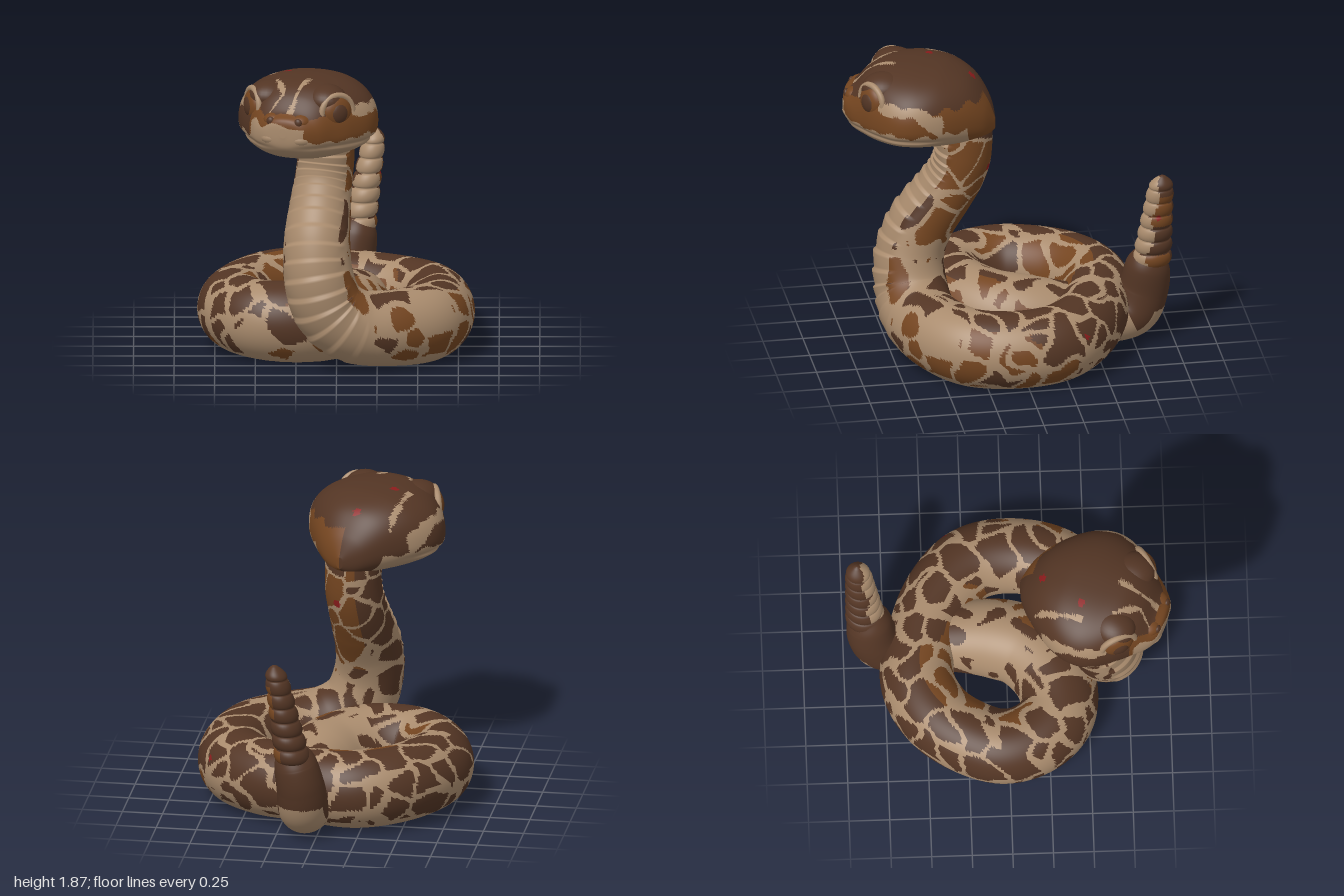
import * as THREE from 'three';

const mat = (name, color) => Object.assign(new THREE.MeshStandardMaterial({ color }), { name });
const tan = mat('tan', 0xa98b6d), dark = mat('darkBrown', 0x533524), mid = mat('rustBrown', 0x744520), red = mat('redFleck', 0x8c1c1c);
const PALETTE = [tan, dark, mid, red];
const TAN = 0, DARK = 1, MID = 2, RED = 3;
const V = (x, y, z) => new THREE.Vector3(x, y, z);
const smooth = THREE.MathUtils.smoothstep;

// Catmull-Rom through rows of numbers, t in 0..1
function spline(rows) {
  const n = rows.length - 1;
  return t => {
    const u = Math.min(Math.max(t, 0), 1) * n, i = Math.min(Math.floor(u), n - 1), f = u - i;
    const [a, b, c, d] = [i - 1, i, i + 1, i + 2].map(k => rows[Math.min(Math.max(k, 0), n)]);
    return b.map((_, k) => b[k] + 0.5 * f * (c[k] - a[k] + f * (2 * a[k] - 5 * b[k] + 4 * c[k] - d[k] + f * (3 * (b[k] - c[k]) + d[k] - a[k]))));
  };
}

// Closed skin over a list of rings; rule(centre, normal) picks each face's colour
function loft(name, rings, rule) {
  const m = rings[0].length, n = rings.length, pts = rings.flat(), faces = [];
  const mean = r => r.reduce((s, p) => s.add(p), V(0, 0, 0)).divideScalar(m);
  pts.push(mean(rings[0]), mean(rings[n - 1]));
  for (let j = 0; j < m; j++) {
    const k = (j + 1) % m, e = (n - 1) * m;
    for (let i = 0; i < n - 1; i++) {
      const a = i * m + j, b = i * m + k;
      faces.push([a, b, b + m], [a, b + m, a + m]);
    }
    faces.push([n * m, k, j], [n * m + 1, e + j, e + k]);
  }
  const buckets = PALETTE.map(() => []), tri = new THREE.Triangle();
  for (const f of faces) {
    tri.set(pts[f[0]], pts[f[1]], pts[f[2]]);
    buckets[rule(tri.getMidpoint(V()), tri.getNormal(V()), f[0])].push(...f);
  }
  const g = new THREE.BufferGeometry().setFromPoints(pts);
  g.setIndex(buckets.flat());
  let start = 0;
  buckets.forEach((b, i) => { if (b.length) g.addGroup(start, b.length, i); start += b.length; });
  g.computeVertexNormals();
  const mesh = new THREE.Mesh(g, PALETTE);
  mesh.name = name;
  return mesh;
}

// Seeded cell noise: gap between the two nearest cells, and the nearest cell's number
const hash = (x, y, z, s) => { const h = Math.sin(x * 127.1 + y * 311.7 + z * 74.7 + s * 53.3) * 43758.5453; return h - Math.floor(h); };
function cells(p, size) {
  const q = p.clone().divideScalar(size);
  const w = V(q.x + 0.13 * Math.sin(q.y * 5 + q.z * 3), q.y + 0.13 * Math.sin(q.z * 5 + q.x * 3), q.z + 0.13 * Math.sin(q.x * 5 + q.y * 3));
  const c = w.clone().floor();
  let f1 = 9, f2 = 9, id = 0;
  for (let x = c.x - 1; x <= c.x + 1; x++) for (let y = c.y - 1; y <= c.y + 1; y++) for (let z = c.z - 1; z <= c.z + 1; z++) {
    const d = Math.hypot(x + hash(x, y, z, 1) - w.x, y + hash(x, y, z, 2) - w.y, z + hash(x, y, z, 3) - w.z);
    if (d < f1) { f2 = f1; f1 = d; id = hash(x, y, z, 4); } else if (d < f2) f2 = d;
  }
  return { gap: f2 - f1, id };
}

// Neck, coil and tail in one sweep: x, y, z, radius
const PATH = [
  [-0.1, 1.68, 0.33, 0.15], [-0.07, 1.5, 0.28, 0.17], [-0.065, 1.3, 0.28, 0.175], [-0.08, 1.15, 0.32, 0.178],
  [-0.1, 1, 0.41, 0.19], [-0.12, 0.8, 0.54, 0.205], [-0.11, 0.6, 0.61, 0.215], [-0.04, 0.4, 0.61, 0.225],
  [0.12, 0.28, 0.58, 0.23], [0.35, 0.25, 0.49, 0.23], [0.55, 0.24, 0.32, 0.23], [0.62, 0.24, 0.05, 0.23],
  [0.57, 0.245, -0.21, 0.23], [0.37, 0.25, -0.4, 0.225], [0.1, 0.26, -0.51, 0.22], [-0.2, 0.26, -0.55, 0.23],
  [-0.46, 0.26, -0.4, 0.23], [-0.62, 0.25, -0.1, 0.23], [-0.59, 0.25, 0.14, 0.23], [-0.43, 0.25, 0.3, 0.235],
  [-0.19, 0.24, 0.29, 0.25], [0.01, 0.23, 0.13, 0.25], [0.09, 0.22, -0.07, 0.245], [0.11, 0.2, -0.33, 0.21],
  [0.08, 0.18, -0.57, 0.17], [0.08, 0.21, -0.75, 0.16], [0.09, 0.36, -0.82, 0.148], [0.12, 0.52, -0.84, 0.13], [0.13, 0.6, -0.86, 0.09]];

function buildBody() {
  const at = spline(PATH), last = PATH.length - 1, per = 20, N = last * per, M = 84;
  const rings = [];
  for (let i = 0; i <= N; i++) {
    const t = i / N, k = i / per, [x, y, z, r] = at(t);
    const T = V(...at(t + 1e-3)).sub(V(...at(t - 1e-3))).normalize();
    // belly faces forward on the neck, down on the coil, back on the tail
    const B = V(-0.25, 0, 1).lerp(V(0, -1, 0), smooth(k, 6, 10)).lerp(V(0, 0, -1), smooth(k, 24.5, 26.5));
    B.addScaledVector(T, -B.dot(T)).normalize();
    const S = T.clone().cross(B), tall = 1 + 0.05 * smooth(k, 8, 10);
    // overlapping belly scutes down the neck
    const step = (i % 8) / 8 - 0.5, fade = 1 - smooth(k, 7, 8.6);
    rings.push(Array.from({ length: M }, (_, j) => {
      const a = j / M * 2 * Math.PI, c = Math.cos(a);
      const scute = -0.017 * step * fade * smooth(c, 0.3, 0.6);
      const p = V(x, y, z).addScaledVector(B, c * (r * tall + scute)).addScaledVector(S, Math.sin(a) * (r + scute));
      p.y = Math.max(p.y, 0.01);
      return p;
    }));
  }
  const flecks = [V(0.74, 0.35, -0.37), V(0.02, 1.21, 0.13)];
  return loft('body', rings, (p, n, v) => {
    const k = Math.floor(v / M) / per, c = Math.cos((v % M) / M * 2 * Math.PI);
    const wob = 0.07 * Math.sin(p.x * 17 + p.y * 9) + 0.06 * Math.sin(p.z * 19 + p.y * 13);
    if (flecks.some(f => f.distanceTo(p) < 0.028)) return RED;
    if (k > 24.8) return c > 0.5 && p.y < 0.24 ? TAN : DARK;
    if (c > (k < 8 ? 0.5 : 0.7) + wob) return TAN;
    // underside of the coil's inner wall stays pale
    if (k > 9 && p.y < 0.26 && n.x * p.x + n.z * p.z < 0) return TAN;
    const { gap, id } = cells(p, 0.225);
    const inner = k > 20.3;
    if (gap < (inner ? 0.26 : k < 3.5 ? 0.07 : 0.14) || id > (inner ? 0.7 : 0.97)) return TAN;
    if (k < 5) return n.x > -0.2 && id < 0.8 ? MID : DARK;
    return id < 0.12 + 0.75 * (n.x * 0.6 + n.z * 0.7 - 0.2 * n.y) + (p.z > 0 ? 0.1 : 0) ? MID : DARK;
  });
}

// Rattle: stacked, shrinking beads
function buildRattle() {
  const rings = [], beads = 7, N = 112, M = 36;
  for (let i = 0; i <= N; i++) {
    const t = i / N, f = t * beads % 1, size = 0.122 - 0.05 * t;
    const r = i === N ? 0.006 : size * (0.84 + 0.2 * Math.sqrt(Math.sin(Math.PI * f))) * (t > 6 / 7 ? 1 - 0.8 * f * f : 1);
    rings.push(Array.from({ length: M }, (_, j) => {
      const a = j / M * 2 * Math.PI;
      return V(0.13 + 0.11 * t + 0.9 * r * Math.sin(a), 0.54 + 0.635 * t, -0.86 - 0.05 * t + r * Math.cos(a));
    }));
  }
  return loft('rattle', rings, (p, n) => {
    if (p.distanceTo(V(0.28, 0.9, -0.88)) < 0.02) return RED;
    if (n.z > 0.28 + 0.15 * Math.sin(p.y * 23)) return TAN;
    return n.x > 0.5 && Math.sin(p.y * 15) > 0 ? MID : DARK;
  });
}

// Head sections: z, half width, top, bottom, widest height
const HEAD = [
  [-0.43, 0.02, 1.53, 1.46, 1.5], [-0.38, 0.14, 1.66, 1.42, 1.54], [-0.28, 0.26, 1.79, 1.4, 1.58], [-0.14, 0.375, 1.86, 1.39, 1.59],
  [0, 0.435, 1.88, 1.385, 1.59], [0.13, 0.43, 1.88, 1.385, 1.58], [0.26, 0.36, 1.865, 1.39, 1.58], [0.36, 0.275, 1.81, 1.41, 1.57],
  [0.44, 0.205, 1.72, 1.44, 1.57], [0.5, 0.12, 1.68, 1.5, 1.59], [0.515, 0.02, 1.63, 1.57, 1.6]];

function skull() {
  const at = spline(HEAD), rings = [], N = 110, M = 110;
  for (let i = 0; i <= N; i++) {
    const [z, w, top, bottom, belt] = at(i / N);
    rings.push(Array.from({ length: M }, (_, j) => {
      const a = j / M * 2 * Math.PI, c = -Math.cos(a), s = Math.sin(a);
      const y = belt + Math.sign(c) * Math.abs(c) ** 0.9 * (c > 0 ? top - belt : belt - bottom);
      const mouth = 1 - 0.06 * smooth(z, -0.25, 0) * Math.exp(-(((y - 1.5) / 0.014) ** 2));
      return V(Math.sign(s) * Math.abs(s) ** 0.85 * w * mouth, y, z);
    }));
  }
  // crown streaks as x, z pairs
  const streaks = [[-0.26, -0.26, -0.24, 0.03], [-0.14, 0.22, -0.05, 0.36], [0.02, 0.46, 0.06, 0.2], [-0.05, 0.36, -0.13, 0.46]]
    .map(([a, b, c, d]) => new THREE.Line3(V(a, 0, b), V(c, 0, d)));
  const flecks = [V(-0.145, 1.86, 0.01), V(-0.04, 1.79, -0.28)];
  return loft('skull', rings, (p, n) => {
    const wob = 0.012 * Math.sin(p.z * 31 + p.x * 23) + 0.008 * Math.sin(p.z * 57 + p.y * 40);
    if (flecks.some(f => f.distanceTo(p) < 0.026)) return RED;
    if (p.y < 1.545 + wob) return p.z < -0.3 ? (p.x > 0 ? MID : DARK) : TAN;
    if (p.z > 0.38 && p.y < 1.64 + wob && p.x < 0.13) return TAN;
    // pale band sweeping back from the eye, then down to the jaw
    const bend = smooth(-p.z, -0.02, 0.2);
    const band = 1.705 - 0.12 * bend, half = 0.03 + 0.05 * bend;
    if (p.z < 0.24 && p.z > -0.17 + wob && Math.abs(p.y - band) < half + wob * 0.6) return TAN;
    if (p.y > 1.7 + wob) {
      const flat = V(p.x, 0, p.z);
      return n.y > 0.15 && streaks.some(l => l.closestPointToPoint(flat, true, V()).distanceTo(flat) < 0.015 + wob * 0.5) ? TAN : DARK;
    }
    return p.z > 0.36 || p.x > 0 ? MID : DARK;
  });
}

function ball(name, material, pos, scale, rotY = 0) {
  const m = new THREE.Mesh(new THREE.SphereGeometry(1, 28, 20), material);
  m.name = name;
  m.position.set(...pos);
  m.scale.set(...scale);
  m.rotation.y = rotY;
  return m;
}

function buildHead() {
  const head = new THREE.Group();
  head.name = 'head';
  head.position.set(-0.155, 0, 0.495);
  head.rotation.y = -0.35;
  head.add(skull());
  for (const s of [1, -1]) {
    // eye: rimmed ball with a dark pupil, turned outward
    const eye = new THREE.Group();
    eye.name = s > 0 ? 'leftEye' : 'rightEye';
    eye.position.set(s * 0.275, 1.705, 0.29);
    eye.rotation.y = s * 0.85;
    const rim = new THREE.Mesh(new THREE.TorusGeometry(0.107, 0.02, 10, 32), tan);
    rim.name = 'eyeRim';
    eye.add(rim, ball('eyeball', mid, [0, 0, 0], [0.098, 0.1, 0.05]), ball('pupil', dark, [0, 0, 0.02], [0.065, 0.07, 0.036]));
    head.add(eye,
      ball('brow', dark, [s * 0.18, 1.765, 0.225], [0.13, 0.095, 0.15], s * 0.5),
      ball('upperLip', tan, [s * 0.085, 1.555, 0.4], [0.1, 0.06, 0.11]),
      ball('noseBump', mid, [s * 0.085, 1.66, 0.42], [0.07, 0.05, 0.075]),
      ball('nostril', dark, [s * 0.09, 1.665, 0.485], [0.026, 0.028, 0.018]));
  }
  return head;
}

export function createModel() {
  const snake = new THREE.Group();
  snake.name = 'snake';
  snake.add(buildBody(), buildRattle(), buildHead());
  return snake;
}
